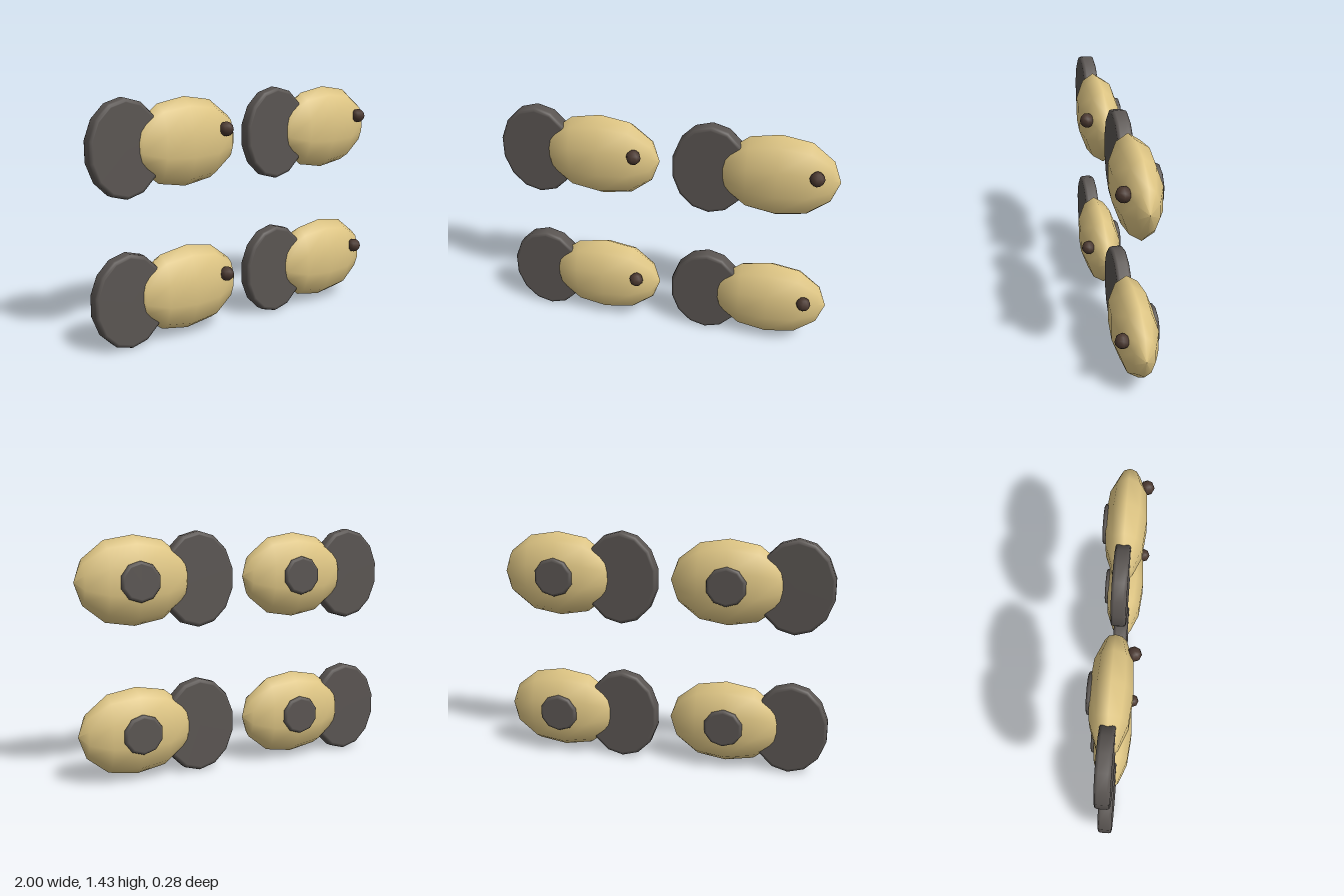
import * as THREE from 'three';

const tan = new THREE.MeshStandardMaterial({ color: 0xe0c785 });
const charcoal = new THREE.MeshStandardMaterial({ color: 0x5a5552 });
const brown = new THREE.MeshStandardMaterial({ color: 0x4a3830 });

const MID_Z = -0.009;

// Oval disc facing z with a softly rounded rim
function discGeometry(rx, ry, half, bevel, sides) {
  const profile = [
    [0, -half], [ry - bevel * 1.3, -half], [ry - bevel, -half], [ry - bevel * 0.3, -half + bevel * 0.3],
    [ry, -half + bevel], [ry, half - bevel],
    [ry - bevel * 0.3, half - bevel * 0.3], [ry - bevel, half], [ry - bevel * 1.3, half], [0, half],
  ].map(([r, y]) => new THREE.Vector2(r, y));
  return new THREE.LatheGeometry(profile, sides).rotateX(Math.PI / 2).scale(rx / ry, 1, 1);
}

// Flattened egg: rings along x, ten-sided in cross-section
function bodyGeometry(rx, ry, rz) {
  const radii = [0, 0.49, 0.88, 1, 0.89, 0.5, 0];
  const profile = radii.map((r, i) => new THREE.Vector2(r, -Math.cos((i * Math.PI) / 6)));
  return new THREE.LatheGeometry(profile, 10, Math.PI / 2)
    .rotateZ(-Math.PI / 2)
    .scale(rx, ry, rz);
}

const parts = [
  ['tailDisc', discGeometry(0.226, 0.279, 0.043, 0.018, 14), charcoal, [-0.78, 0.28, MID_Z]],
  ['body', bodyGeometry(0.348, 0.257, 0.126), tan, [-0.39, 0.285, MID_Z]],
  ['backPad', discGeometry(0.12, 0.116, 0.035, 0.014, 10), charcoal, [-0.39, 0.285, -0.105]],
  ['eye', new THREE.SphereGeometry(0.043, 8, 6), brown, [-0.17, 0.35, 0.097]],
];

function makeUnit() {
  const unit = new THREE.Group();
  for (const [name, geometry, material, position] of parts) {
    const mesh = new THREE.Mesh(geometry, material);
    mesh.name = name;
    mesh.position.set(...position);
    unit.add(mesh);
  }
  return unit;
}

export function createModel() {
  const model = new THREE.Group();
  model.name = 'ovalUnits';
  // Two by two arrangement
  for (const [row, y] of [['lower', 0], ['upper', 0.867]]) {
    for (const [side, x] of [['Right', 0], ['Left', 1.04]]) {
      const unit = makeUnit();
      unit.name = `${row}${side}Unit`;
      unit.position.set(x, y, 0);
      model.add(unit);
    }
  }
  return model;
}
